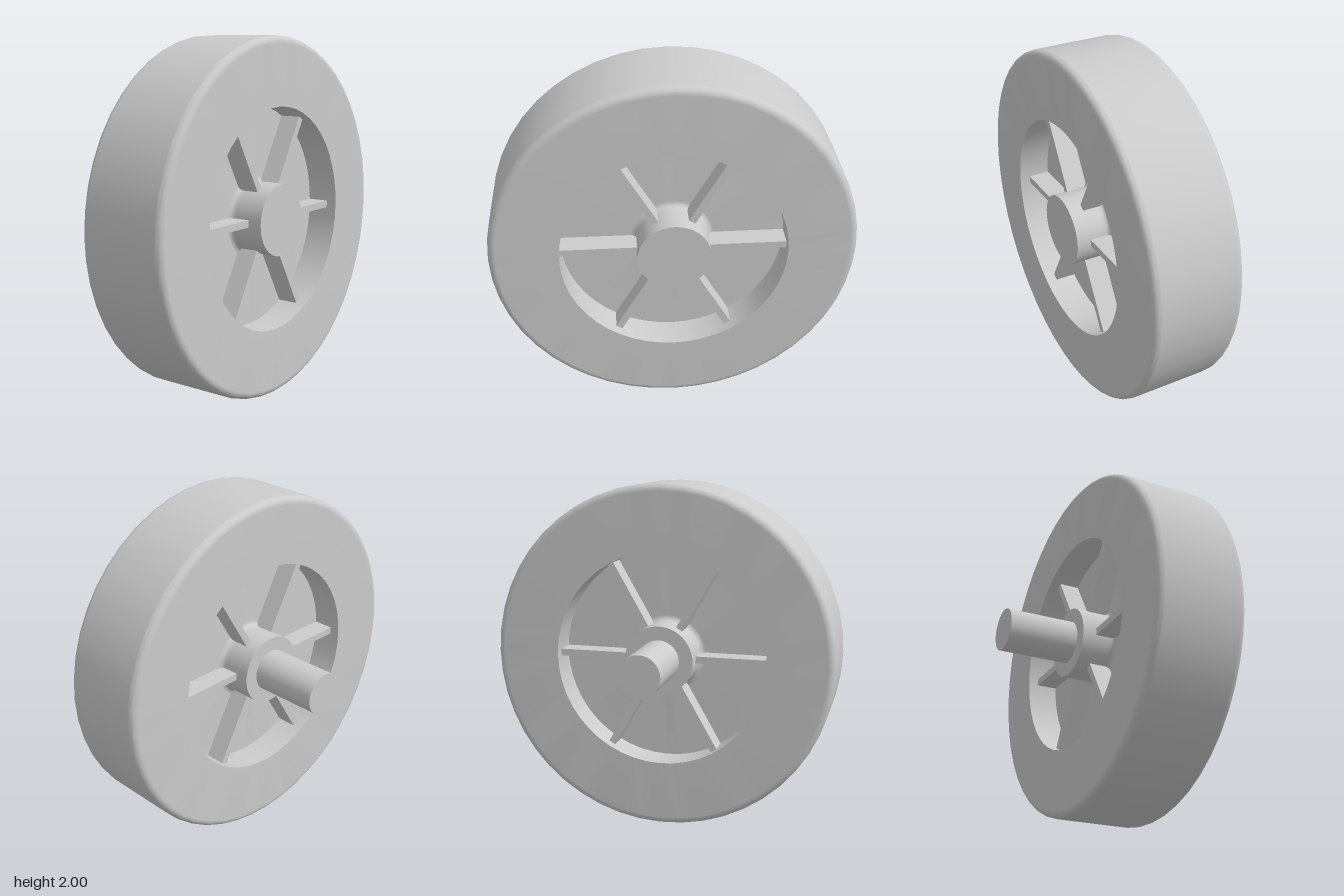
import * as THREE from 'three';
import { toCreasedNormals } from 'three/addons/utils/BufferGeometryUtils.js';

const SEGMENTS = 48;
const material = new THREE.MeshStandardMaterial({ color: 0xcccccc });

// Wheel sizes; widths are measured along the axle from the wheel's mid-plane
const RADIUS = 1, RIM_INNER = 0.62, HUB_RADIUS = 0.2, AXLE_RADIUS = 0.12;
const RIM_HALF = 0.26, HUB_HALF = 0.28, WEB_HALF = 0.08, SPOKE_HALF = 0.2;
const ROUND = 0.04, FILLET = 0.03, SPOKE_WIDTH = 0.04;

// Arc around (cx, cy) from angle a to b in degrees, with a short straight
// lead at each end so that the neighbouring flats keep flat shading
function arc(cx, cy, r, a, b, steps = 6) {
  const points = Array.from({ length: steps + 1 }, (_, i) => {
    const t = THREE.MathUtils.degToRad(a + (b - a) * i / steps);
    return new THREE.Vector2(cx + r * Math.cos(t), cy + r * Math.sin(t));
  });
  const lead = (end, angle, length) => {
    const t = THREE.MathUtils.degToRad(angle);
    return new THREE.Vector2(-Math.sin(t), Math.cos(t)).multiplyScalar(length).add(end);
  };
  const step = 0.006 * Math.sign(b - a);
  return [lead(points[0], a, -step), ...points, lead(points[steps], b, step)];
}

function part(name, geometry) {
  const mesh = new THREE.Mesh(geometry, material);
  mesh.name = name;
  return mesh;
}

// Spins a (radius, width) profile around the axle with crisp corners
function turned(name, points) {
  return part(name, toCreasedNormals(new THREE.LatheGeometry(points, SEGMENTS), 0.6));
}

export function createModel() {
  const model = new THREE.Group();
  model.name = 'wheel';

  // Everything is built around y, then laid so the axle runs along x
  const wheel = new THREE.Group();
  wheel.name = 'wheelAssembly';
  wheel.rotation.z = -Math.PI / 2;
  wheel.position.set(0.2, RADIUS, 0);
  model.add(wheel);

  // Rim with rounded outer shoulders
  const p = (r, y) => new THREE.Vector2(r, y);
  wheel.add(turned('rim', [
    p(RIM_INNER, -RIM_HALF),
    ...arc(RADIUS - ROUND, -RIM_HALF + ROUND, ROUND, -90, 0),
    ...arc(RADIUS - ROUND, RIM_HALF - ROUND, ROUND, 0, 90),
    p(RIM_INNER, RIM_HALF),
    p(RIM_INNER, -RIM_HALF),
  ]));

  // Hub and web, blended by a fillet on both sides
  const filletR = HUB_RADIUS + FILLET, filletY = WEB_HALF + FILLET;
  wheel.add(turned('hubAndWeb', [
    p(0, -HUB_HALF),
    p(HUB_RADIUS, -HUB_HALF),
    ...arc(filletR, -filletY, FILLET, 180, 90),
    p(RIM_INNER + 0.01, -WEB_HALF),
    p(RIM_INNER + 0.01, WEB_HALF),
    ...arc(filletR, filletY, FILLET, 270, 180),
    p(HUB_RADIUS, HUB_HALF),
    p(0, HUB_HALF),
  ]));

  // Six spokes standing out from both faces of the web
  const inner = HUB_RADIUS - 0.02, outer = RIM_INNER + 0.01;
  const spokeGeometry = new THREE.BoxGeometry(SPOKE_WIDTH, SPOKE_HALF * 2, outer - inner);
  spokeGeometry.translate(0, 0, (inner + outer) / 2);
  for (let i = 0; i < 6; i++) {
    const spoke = part('spoke', spokeGeometry);
    spoke.rotation.y = i * Math.PI / 3;
    wheel.add(spoke);
  }

  // Axle stub on the inner side, seated in the hub
  const axle = part('axle', new THREE.CylinderGeometry(AXLE_RADIUS, AXLE_RADIUS, 0.44, SEGMENTS));
  axle.position.y = -0.46;
  wheel.add(axle);

  return model;
}
